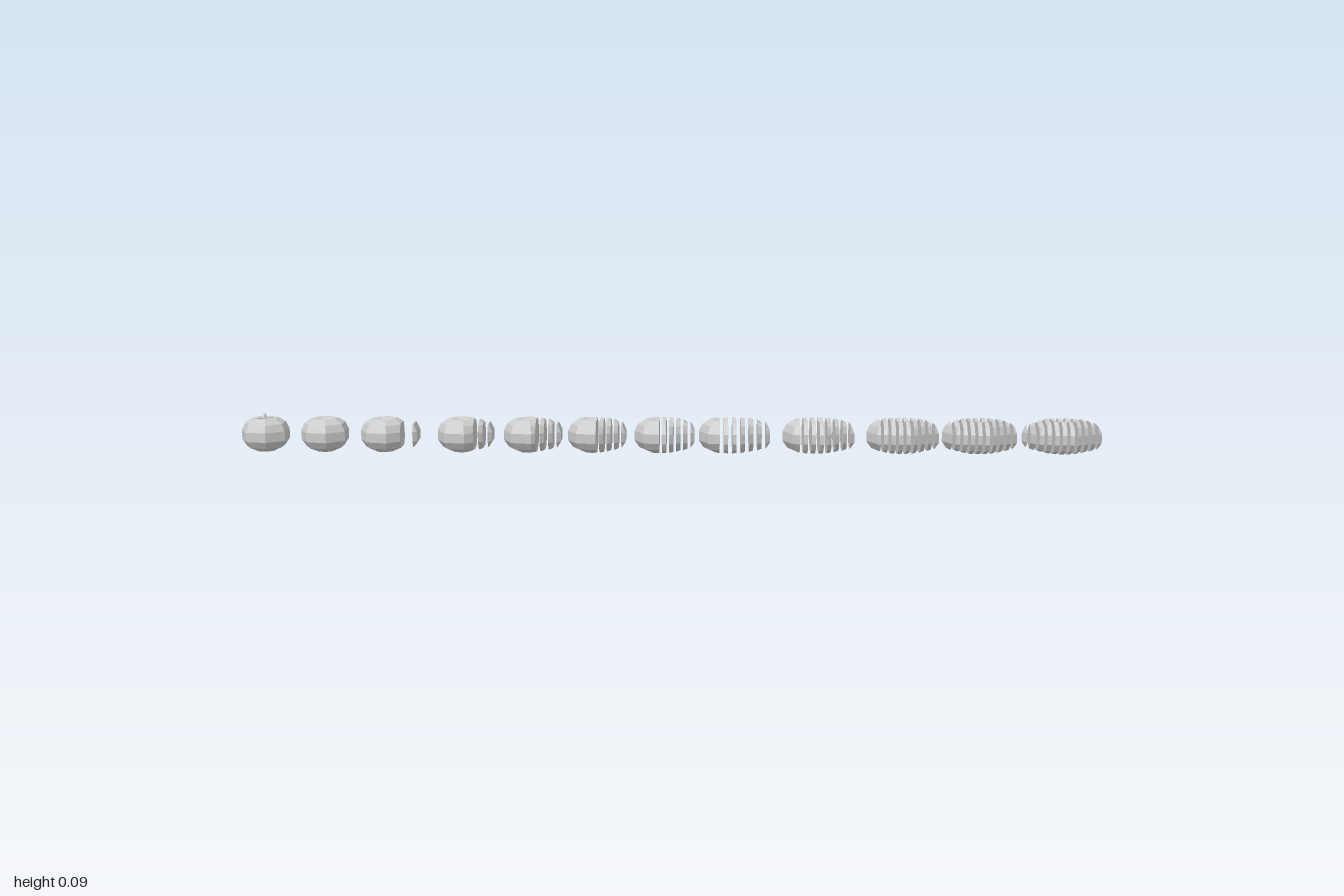
import * as THREE from 'three';

const SIDES = 7, R = 0.056, PIECES = 11;
const XMIN = -R, XMAX = R * Math.cos(Math.PI / SIDES);
const THICK = (XMAX - XMIN) / PIECES;
const MID = new THREE.Vector3(0, 0.038, 0);

const skin = new THREE.MeshStandardMaterial({ color: 0xcccccc, flatShading: true });
const leafy = new THREE.MeshStandardMaterial({ color: 0xcccccc, flatShading: true, side: THREE.DoubleSide });

// Whole fruit: seven-sided lathe with one corner towards -x and a dimpled top
function fruitGeometry() {
  const profile = [[0, 0], [0.02, 0.003], [0.045, 0.014], [R, 0.03], [R, 0.052],
    [0.048, 0.069], [0.031, 0.08], [0.02, 0.08], [0, 0.072]];
  return new THREE.LatheGeometry(profile.map(([r, y]) => new THREE.Vector2(r, y)), SIDES, -Math.PI / 2).toNonIndexed();
}

function trianglesOf(geometry) {
  const p = geometry.attributes.position, list = [];
  for (let i = 0; i < p.count; i += 3) {
    const t = [0, 1, 2].map(k => new THREE.Vector3().fromBufferAttribute(p, i + k));
    const area = t[1].clone().sub(t[0]).cross(t[2].clone().sub(t[0])).length();
    if (area > 1e-9) list.push(t);
  }
  return list;
}

// Keep the side of a plane where sign * (x - cut) <= 0 and close the cut with a fan
function clip(triangles, cut, sign) {
  const out = [], centre = new THREE.Vector3(cut, MID.y, 0);
  for (const tri of triangles) {
    const poly = [], edge = [];
    for (let i = 0; i < 3; i++) {
      const a = tri[i], b = tri[(i + 1) % 3];
      const da = sign * (a.x - cut), db = sign * (b.x - cut);
      if (da <= 0) poly.push(a);
      if ((da <= 0) !== (db <= 0)) {
        const q = a.clone().lerp(b, da / (da - db));
        poly.push(q);
        edge.push(q);
      }
    }
    for (let i = 1; i + 1 < poly.length; i++) out.push([poly[0], poly[i], poly[i + 1]]);
    if (edge.length === 2) {
      const [a, b] = edge;
      const nx = b.clone().sub(a).cross(centre.clone().sub(a)).x;
      out.push(nx * sign > 0 ? [a, b, centre] : [b, a, centre]);
    }
  }
  return out;
}

// Piece of the fruit between two cuts (null for no cut)
function pieceMesh(triangles, from, to, name) {
  let list = triangles;
  if (to !== null) list = clip(list, to, 1);
  if (from !== null) list = clip(list, from, -1);
  const g = new THREE.BufferGeometry().setFromPoints(list.flat());
  g.computeVertexNormals();
  const mesh = new THREE.Mesh(g, skin);
  mesh.name = name;
  return mesh;
}

// Short stem and a star of small pointed leaves
function makeStem() {
  const stem = new THREE.Group();
  stem.name = 'stem';
  const stalk = new THREE.Mesh(new THREE.CylinderGeometry(0.003, 0.004, 0.018, 5), leafy);
  stalk.name = 'stalk';
  stalk.position.y = 0.081;
  stem.add(stalk);
  for (let i = 0; i < 5; i++) {
    const g = new THREE.BufferGeometry().setFromPoints([
      [0, 0.078, 0], [0.013, 0.082, 0.005], [0.026, 0.081, 0],
      [0, 0.078, 0], [0.026, 0.081, 0], [0.013, 0.082, -0.005],
    ].map(v => new THREE.Vector3(...v)));
    g.computeVertexNormals();
    const leaf = new THREE.Mesh(g, leafy);
    leaf.name = 'leaf';
    leaf.rotation.y = i * Math.PI * 2 / 5;
    stem.add(leaf);
  }
  return stem;
}

export function createModel() {
  const model = new THREE.Group();
  model.name = 'slicedFruitRow';
  const triangles = trianglesOf(fruitGeometry());

  // Left and right end of every stage along the row
  const spans = [[-1, -0.893], [-0.86, -0.753], [-0.72, -0.585], [-0.54, -0.41],
    [-0.385, -0.25], [-0.235, -0.1], [-0.08, 0.06], [0.07, 0.235],
    [0.265, 0.43], [0.46, 0.625], [0.635, 0.805], [0.82, 1]];

  spans.forEach(([start, end], k) => {
    const stage = new THREE.Group();
    stage.name = 'stage' + (k + 1);
    stage.position.x = start - XMIN;
    const cuts = Math.max(0, k - 1);
    const gap = cuts ? (end - start - (XMAX - XMIN)) / cuts : 0;

    // Uncut remainder, then the slices spread out to its right
    const bodyEnd = XMAX - cuts * THICK;
    stage.add(pieceMesh(triangles, null, cuts ? bodyEnd : null, 'body'));
    for (let i = 0; i < cuts; i++) {
      const from = bodyEnd + i * THICK;
      const slice = pieceMesh(triangles, from, i === cuts - 1 ? null : from + THICK, 'slice');
      slice.position.x = (i + 1) * gap;
      stage.add(slice);
    }
    if (k === 0) stage.add(makeStem());
    model.add(stage);
  });
  return model;
}
